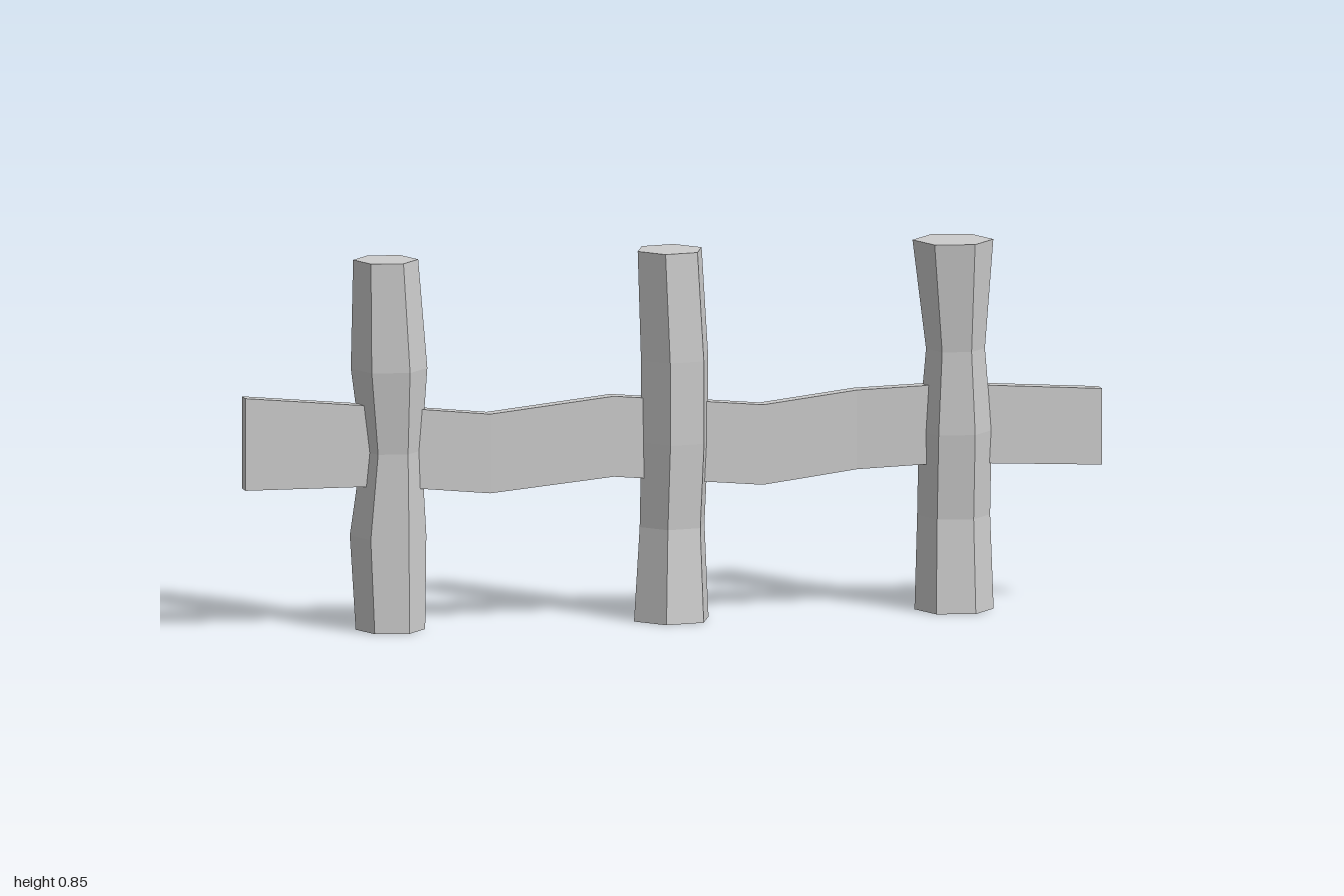
import * as THREE from 'three';

const material = new THREE.MeshStandardMaterial({ color: 0xcccccc, flatShading: true, side: THREE.DoubleSide });

// Joins equal-length rings of [x, y, z] points into a closed, capped solid.
function loft(rings) {
  const n = rings[0].length;
  const pos = [];
  const tri = (a, b, c) => pos.push(...a, ...b, ...c);
  for (let i = 0; i < rings.length - 1; i++) {
    for (let k = 0; k < n; k++) {
      const m = (k + 1) % n;
      const [a, b, c, d] = [rings[i][k], rings[i][m], rings[i + 1][m], rings[i + 1][k]];
      tri(a, c, b);
      tri(a, d, c);
    }
  }
  const first = rings[0], last = rings[rings.length - 1];
  for (let k = 1; k < n - 1; k++) {
    tri(first[0], first[k], first[k + 1]);
    tri(last[0], last[k + 1], last[k]);
  }
  const geometry = new THREE.BufferGeometry();
  geometry.setAttribute('position', new THREE.Float32BufferAttribute(pos, 3));
  geometry.computeVertexNormals();
  return geometry;
}

// Uneven six-sided post; levels are [y, centre x, centre z, radius].
function post(name, turn, levels) {
  const rings = levels.map(([y, cx, cz, r]) =>
    Array.from({ length: 6 }, (_, k) => {
      const a = THREE.MathUtils.degToRad(turn + k * 60);
      return [cx + r * Math.cos(a), y, cz + r * Math.sin(a)];
    }));
  const mesh = new THREE.Mesh(loft(rings), material);
  mesh.name = name;
  return mesh;
}

// Wavy plank; sections are [x, bottom, top, centre z].
function rail(sections) {
  const t = 0.0175;
  const rings = sections.map(([x, lo, hi, z]) =>
    [[x, lo, z - t], [x, lo, z + t], [x, hi, z + t], [x, hi, z - t]]);
  // Reversed corner order keeps faces outward along +x.
  const mesh = new THREE.Mesh(loft(rings.map((r) => r.reverse())), material);
  mesh.name = 'rail';
  return mesh;
}

export function createModel() {
  const group = new THREE.Group();
  group.name = 'fence';

  group.add(
    post('rightPost', 10, [
      [0, -0.658, 0.005, 0.079],
      [0.215, -0.66, -0.01, 0.087],
      [0.41, -0.654, 0, 0.068],
      [0.6, -0.66, 0, 0.087],
      [0.85, -0.668, 0, 0.074],
    ]),
    post('middlePost', -10, [
      [0, -0.002, 0.003, 0.092],
      [0.215, 0.002, -0.006, 0.08],
      [0.41, 0.007, 0, 0.083],
      [0.6, 0.006, 0.002, 0.083],
      [0.85, -0.005, 0, 0.079],
    ]),
    post('leftPost', 10, [
      [0, 0.658, 0.005, 0.09],
      [0.215, 0.66, -0.008, 0.083],
      [0.41, 0.661, 0.003, 0.083],
      [0.6, 0.66, 0.01, 0.067],
      [0.85, 0.655, 0.006, 0.092],
    ]),
  );

  // Single plank running through all three posts
  group.add(rail([
    [-1, 0.333, 0.545, 0.002],
    [-0.68, 0.332, 0.515, 0.002],
    [-0.43, 0.308, 0.49, 0.009],
    [-0.14, 0.335, 0.52, 0.003],
    [0.21, 0.303, 0.487, -0.003],
    [0.43, 0.33, 0.512, -0.009],
    [0.64, 0.339, 0.52, 0.002],
    [1, 0.322, 0.497, 0.002],
  ]));

  return group;
}
